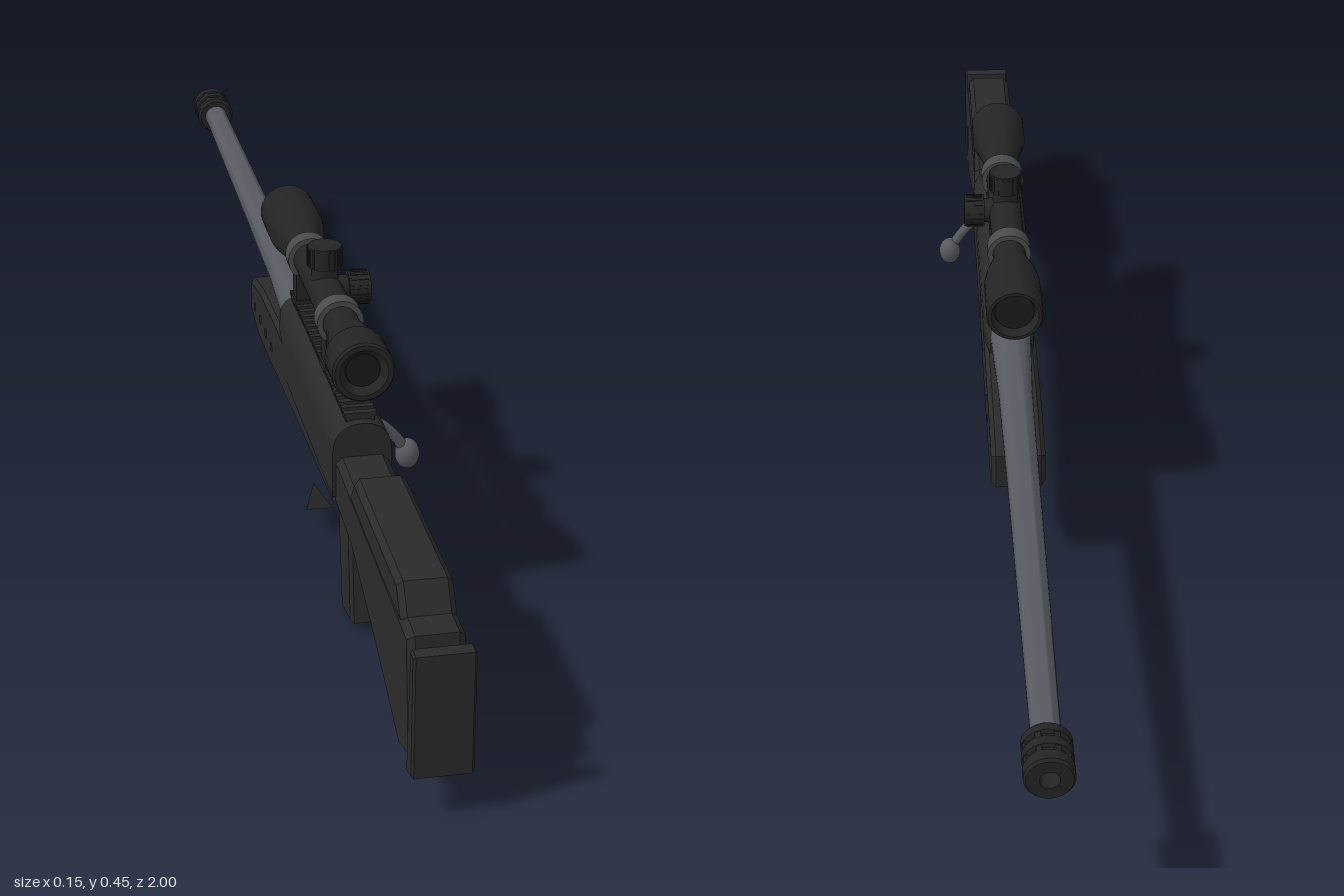
import * as THREE from 'three';
import { toCreasedNormals } from 'three/addons/utils/BufferGeometryUtils.js';

const CX = -0.029;      // centre plane of the rifle
const SCOPE_Y = 0.377;  // optical axis
const BORE_Y = 0.258;   // barrel axis

const material = (name, color) => {
  const m = new THREE.MeshStandardMaterial({ color });
  m.name = name;
  return m;
};

export function createModel() {
  const group = new THREE.Group();
  const body = material('matte black', 0x2a2a2a);
  const black = material('scope black', 0x242424);
  const steel = material('gun steel', 0x565a60);
  const ringGrey = material('ring grey', 0x484a4c);
  const dark = material('lens dark', 0x1a1a1c);
  const sheet = material('loose sheet black', 0x222222);
  sheet.side = THREE.DoubleSide;

  const add = (name, geometry, mat, x = CX, y = 0, z = 0) => {
    const mesh = new THREE.Mesh(geometry, mat);
    mesh.name = name;
    mesh.position.set(x, y, z);
    group.add(mesh);
    return mesh;
  };

  // Turned part around the z axis, profile given as [radius, z] with z ascending
  const turned = (profile, sides = 32) => toCreasedNormals(
    new THREE.LatheGeometry(profile.map(([r, z]) => new THREE.Vector2(r, z)), sides).rotateX(Math.PI / 2), 0.6);

  // Side outline given as [z, y], extruded across x with chamfered edges
  const slab = (outline, half, bevel, holes = []) => {
    const points = (list) => list.map(([z, y]) => new THREE.Vector2(-z, y));
    const shape = new THREE.Shape(points(outline));
    shape.holes = holes.map((h) => new THREE.Path(points(h)));
    return new THREE.ExtrudeGeometry(shape, {
      depth: 2 * (half - bevel), bevelEnabled: bevel > 0, bevelSegments: 1,
      bevelSize: bevel, bevelThickness: bevel, bevelOffset: -bevel,
    }).translate(0, 0, bevel - half).rotateY(Math.PI / 2);
  };

  // Butt stock, cheek rest and recoil pad
  add('buttStock', slab([[0.955, 0.238], [0.51, 0.246], [0.47, 0.246], [0.47, 0.17], [0.596, 0.163],
    [0.756, 0.11], [0.912, 0.05], [0.976, 0.07]], 0.037, 0.009), body);
  add('cheekRest', slab([[0.912, 0.225], [0.912, 0.238], [0.885, 0.275], [0.61, 0.275], [0.583, 0.242],
    [0.583, 0.225]], 0.036, 0.008), body);
  add('recoilPad', slab([[1, 0.236], [0.98, 0.236], [0.97, 0.055], [1, 0.062]], 0.04, 0.003), body);
  add('padMount', new THREE.BoxGeometry(0.05, 0.12, 0.05), body, CX, 0.15, 0.96);

  // Fore-end with four square vents through it
  const vents = [-0.04, -0.094, -0.148, -0.202].map((z) =>
    [[z - 0.014, 0.163], [z + 0.014, 0.163], [z + 0.014, 0.19], [z - 0.014, 0.19]]);
  add('foreEnd', slab([[0.49, 0.235], [0, 0.238], [-0.15, 0.229], [-0.247, 0.21], [-0.247, 0.153],
    [-0.17, 0.136], [-0.06, 0.14], [0.12, 0.151], [0.33, 0.163], [0.49, 0.17]], 0.041, 0.007, vents), body);

  // Receiver: arched cross-sections lofted along z, [z, half width, top]
  const stations = [[0.49, 0.042, 0.296], [0.17, 0.042, 0.296], [0.07, 0.041, 0.293], [0.02, 0.037, 0.289], [-0.005, 0.033, 0.285]];
  const arcSteps = 12;
  const ringSize = arcSteps + 3;
  const position = [];
  const index = [];
  for (const [z, w, top] of stations) {
    position.push(w, 0.185, z);
    for (let i = 0; i <= arcSteps; i++) {
      const a = (i / arcSteps) * Math.PI;
      const c = Math.cos(a);
      position.push(w * Math.sign(c) * Math.abs(c) ** 0.85, top - 0.046 + 0.046 * Math.sin(a) ** 0.85, z);
    }
    position.push(-w, 0.185, z);
  }
  for (let s = 0; s < stations.length - 1; s++) {
    for (let i = 0; i < ringSize; i++) {
      const j = (i + 1) % ringSize;
      const a = s * ringSize + i, b = s * ringSize + j;
      index.push(a, b, a + ringSize, b, b + ringSize, a + ringSize);
    }
  }
  const last = (stations.length - 1) * ringSize;
  for (let i = 1; i < ringSize - 1; i++) {
    index.push(0, i, i + 1);
    index.push(last, last + i + 1, last + i);
  }
  // Rings run counter-clockwise seen from +z and stations go towards -z
  for (let t = 0; t < (stations.length - 1) * ringSize * 6; t += 3) {
    [index[t + 1], index[t + 2]] = [index[t + 2], index[t + 1]];
  }
  const receiver = new THREE.BufferGeometry();
  receiver.setAttribute('position', new THREE.Float32BufferAttribute(position, 3));
  receiver.setIndex(index);
  add('receiver', toCreasedNormals(receiver, 0.6), body);

  // Toothed sight rail
  add('railBase', new THREE.BoxGeometry(0.04, 0.012, 0.44), body, CX, 0.294, 0.255);
  for (let i = 0; i < 24; i++) {
    add('railTooth', new THREE.BoxGeometry(0.046, 0.007, 0.01), body, CX, 0.302, 0.04 + i * 0.0187);
  }

  // Barrel and muzzle brake with a hollow bore
  add('barrel', turned([[0.02, -0.94], [0.02, -0.9], [0.0235, -0.4], [0.026, -0.15], [0.03, -0.04],
    [0.032, 0.02]]), steel, CX, BORE_Y);
  add('muzzleBrake', turned([[0, -0.95], [0.013, -0.95], [0.013, -1], [0.03, -1], [0.033, -0.996],
    [0.033, -0.98], [0.028, -0.978], [0.028, -0.971], [0.033, -0.969], [0.033, -0.955], [0.028, -0.953],
    [0.028, -0.946], [0.033, -0.944], [0.033, -0.932], [0.029, -0.927], [0, -0.927]]), black, CX, BORE_Y);
  for (let i = 0; i < 8; i++) {
    const a = (i + 0.5) * Math.PI / 4;
    add('brakeRib', new THREE.BoxGeometry(0.008, 0.008, 0.05), black,
      CX + 0.028 * Math.cos(a), BORE_Y + 0.028 * Math.sin(a), -0.962).rotation.z = a;
  }

  // Scope body with recessed lenses
  add('scopeTube', turned([[0, -0.105], [0.031, -0.105], [0.036, -0.122], [0.041, -0.122], [0.043, -0.118],
    [0.043, -0.03], [0.039, -0.005], [0.028, 0.035], [0.026, 0.05], [0.026, 0.355], [0.029, 0.375],
    [0.038, 0.42], [0.041, 0.435], [0.044, 0.44], [0.044, 0.496], [0.041, 0.5], [0.034, 0.5],
    [0.025, 0.488], [0, 0.488]]), black, CX, SCOPE_Y);
  for (const [z, r] of [[0.489, 0.024], [-0.106, 0.03]]) {
    add('lens', new THREE.CylinderGeometry(r, r, 0.003, 32).rotateX(Math.PI / 2), dark, CX, SCOPE_Y, z);
  }

  // Scope mounts
  for (const z of [0.316, 0.075]) {
    add('scopeRing', new THREE.CylinderGeometry(0.034, 0.034, 0.028, 32).rotateX(Math.PI / 2), ringGrey, CX, SCOPE_Y, z);
    add('scopePost', new THREE.BoxGeometry(0.044, 0.05, 0.032), black, CX, 0.328, z);
    add('mountClamp', new THREE.BoxGeometry(0.05, 0.01, 0.036), black, CX, 0.307, z);
  }

  // Adjustment turrets with ridged caps, one upwards and one to the side
  for (const [name, turn, reach] of [['topTurret', 0, 0.07], ['sideTurret', -Math.PI / 2, 0.066]]) {
    const turret = new THREE.Group();
    turret.name = name;
    const neck = new THREE.Mesh(new THREE.CylinderGeometry(0.018, 0.022, 0.04, 24), black);
    neck.position.y = 0.025;
    const cap = new THREE.Mesh(new THREE.CylinderGeometry(0.025, 0.025, 0.032, 24), black);
    cap.position.y = reach - 0.016;
    turret.add(neck, cap);
    for (let i = 0; i < 18; i++) {
      const a = (i / 18) * Math.PI * 2;
      const ridge = new THREE.Mesh(new THREE.BoxGeometry(0.003, 0.026, 0.004), black);
      ridge.position.set(0.0248 * Math.cos(a), reach - 0.016, 0.0248 * Math.sin(a));
      ridge.rotation.y = -a;
      turret.add(ridge);
    }
    turret.position.set(CX, SCOPE_Y, 0.204);
    turret.rotation.z = turn;
    group.add(turret);
  }

  // Pistol grip, trigger and guard
  add('pistolGrip', slab([[0.523, 0.19], [0.442, 0.19], [0.478, 0.001], [0.547, 0.012]], 0.026, 0.005), body);
  const guardPath = new THREE.CurvePath();
  const guard = [[0.45, 0.165], [0.44, 0.107], [0.348, 0.104], [0.326, 0.135], [0.328, 0.17]]
    .map(([z, y]) => new THREE.Vector3(0, y, z));
  for (let i = 1; i < guard.length; i++) guardPath.add(new THREE.LineCurve3(guard[i - 1], guard[i]));
  add('triggerGuard', new THREE.TubeGeometry(guardPath, 40, 0.0055, 8), body);
  const triggerCurve = new THREE.QuadraticBezierCurve3(new THREE.Vector3(0, 0.17, 0.4),
    new THREE.Vector3(0, 0.145, 0.405), new THREE.Vector3(0, 0.122, 0.388));
  add('trigger', new THREE.TubeGeometry(triggerCurve, 8, 0.005, 8), body);

  // Bolt handle and knob
  const boltCurve = new THREE.QuadraticBezierCurve3(new THREE.Vector3(0, 0.257, 0.4),
    new THREE.Vector3(0.032, 0.24, 0.397), new THREE.Vector3(0.055, 0.197, 0.392));
  add('boltHandle', new THREE.TubeGeometry(boltCurve, 16, 0.008, 12), steel, 0);
  add('boltKnob', new THREE.SphereGeometry(0.018, 20, 14).scale(1, 1.28, 1), steel, 0.057, 0.193, 0.392);

  // Loose triangular sheet below the fore-end
  const loose = new THREE.BufferGeometry();
  loose.setAttribute('position', new THREE.Float32BufferAttribute(
    [-0.037, 0.031, 0.157, -0.027, 0.042, 0.262, -0.068, 0.044, 0.264], 3));
  loose.computeVertexNormals();
  add('loosePlate', loose, sheet, 0);

  return group;
}
